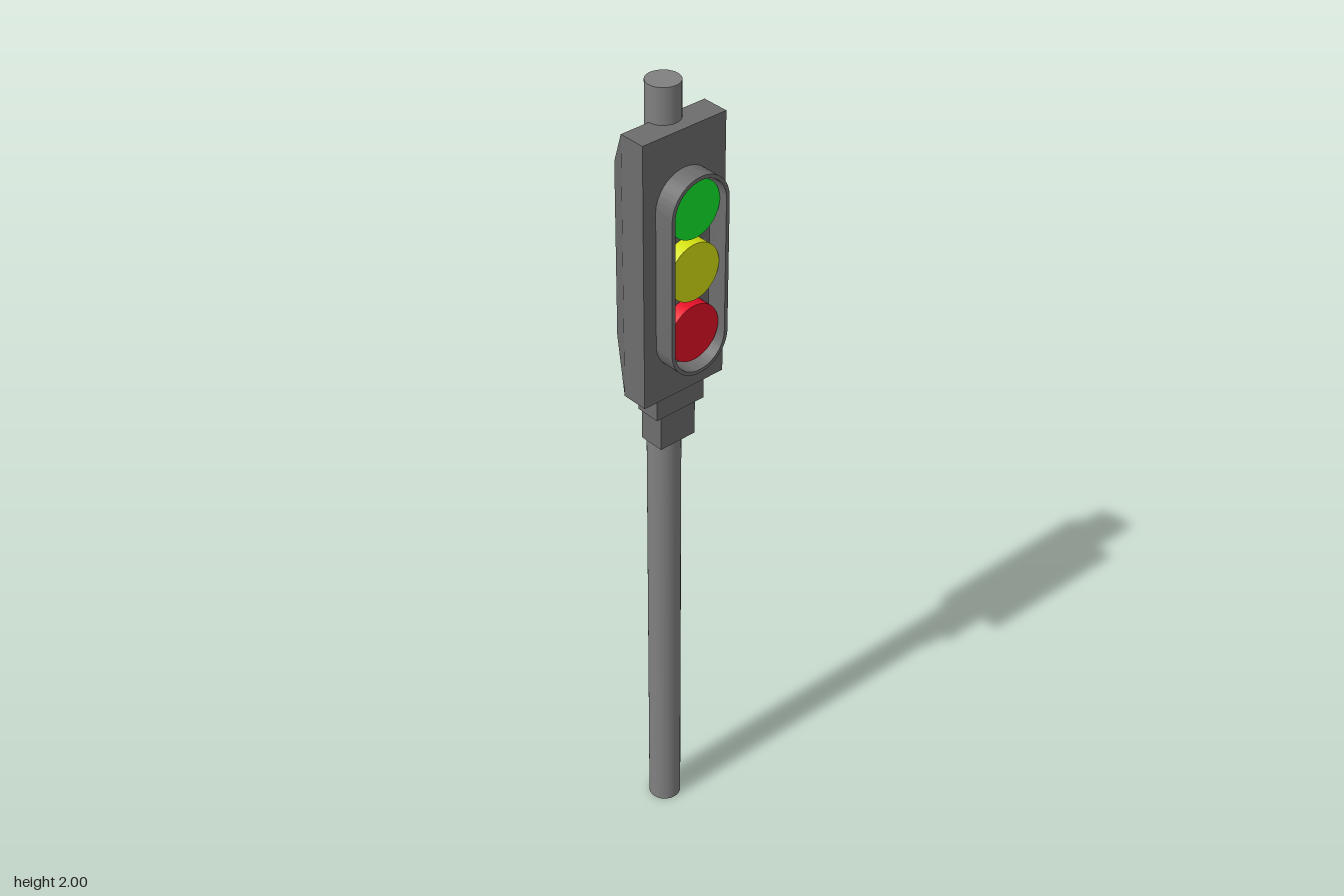
import * as THREE from 'three';
import { toCreasedNormals } from 'three/addons/utils/BufferGeometryUtils.js';
import { ConvexGeometry } from 'three/addons/geometries/ConvexGeometry.js';

const POLE_X = -0.025;
const LAMP_Y = 1.588;      // height of the middle lamp
const LAMP_GAP = 0.152;
const LAMP_DEPTH = 0.032;
const FACE_X = 0.0415;     // plane of the housing front

// Stadium outline: a half circle above and below a straight run
function stadium(path, radius, halfRun) {
  path.absarc(0, halfRun, radius, 0, Math.PI, false);
  path.absarc(0, -halfRun, radius, Math.PI, Math.PI * 2, false);
  path.closePath();
  return path;
}

// Four corners of an upright rectangle facing x
function corners(x, y0, y1, halfZ) {
  return [y0, y1].flatMap(y => [-halfZ, halfZ].map(z => new THREE.Vector3(x, y, z)));
}

export function createModel() {
  const model = new THREE.Group();
  model.name = 'trafficLight';
  const poleGrey = new THREE.MeshStandardMaterial({ color: 0x808080 });
  const bodyGrey = new THREE.MeshStandardMaterial({ color: 0x6d6d6d });

  const add = (name, geometry, material = bodyGrey) => {
    const mesh = new THREE.Mesh(geometry, material);
    mesh.name = name;
    model.add(mesh);
    return mesh;
  };

  // Pole through the full height
  add('pole', new THREE.CylinderGeometry(0.039, 0.039, 2, 32), poleGrey).position.set(POLE_X, 1, 0);

  // Housing: front slab with a back that tapers on all four sides
  add('housing', new ConvexGeometry([
    ...corners(FACE_X, 1.272, 1.915, 0.113),
    ...corners(POLE_X, 1.272, 1.915, 0.113),
    ...corners(-0.0925, 1.38, 1.81, 0.075),
  ]));

  // Stepped bracket under the housing
  add('upperBracket', new THREE.BoxGeometry(0.062, 0.062, 0.136)).position.set(-0.001, 1.243, 0);
  add('lowerBracket', new THREE.BoxGeometry(0.064, 0.095, 0.1)).position.set(-0.01, 1.1675, 0);

  // Open visor around the lamps
  const rim = stadium(new THREE.Shape(), 0.079, 0.163);
  rim.holes.push(stadium(new THREE.Path(), 0.07, 0.163));
  const visor = new THREE.ExtrudeGeometry(rim, { depth: 0.051, bevelEnabled: false, curveSegments: 20 });
  visor.rotateY(Math.PI / 2);
  add('visor', toCreasedNormals(visor, 0.6)).position.set(FACE_X, 1.584, 0);

  // Lamps from bottom to top, standing proud of the housing inside the visor
  const lamps = [['redLamp', 0xe61028], ['yellowLamp', 0xd4e010], ['greenLamp', 0x10ea2c]];
  lamps.forEach(([name, color], i) => {
    const lamp = new THREE.CylinderGeometry(0.069, 0.069, LAMP_DEPTH, 40).rotateZ(-Math.PI / 2);
    add(name, lamp, new THREE.MeshStandardMaterial({ color }))
      .position.set(FACE_X + LAMP_DEPTH / 2, LAMP_Y + (i - 1) * LAMP_GAP, 0);
  });

  return model;
}
